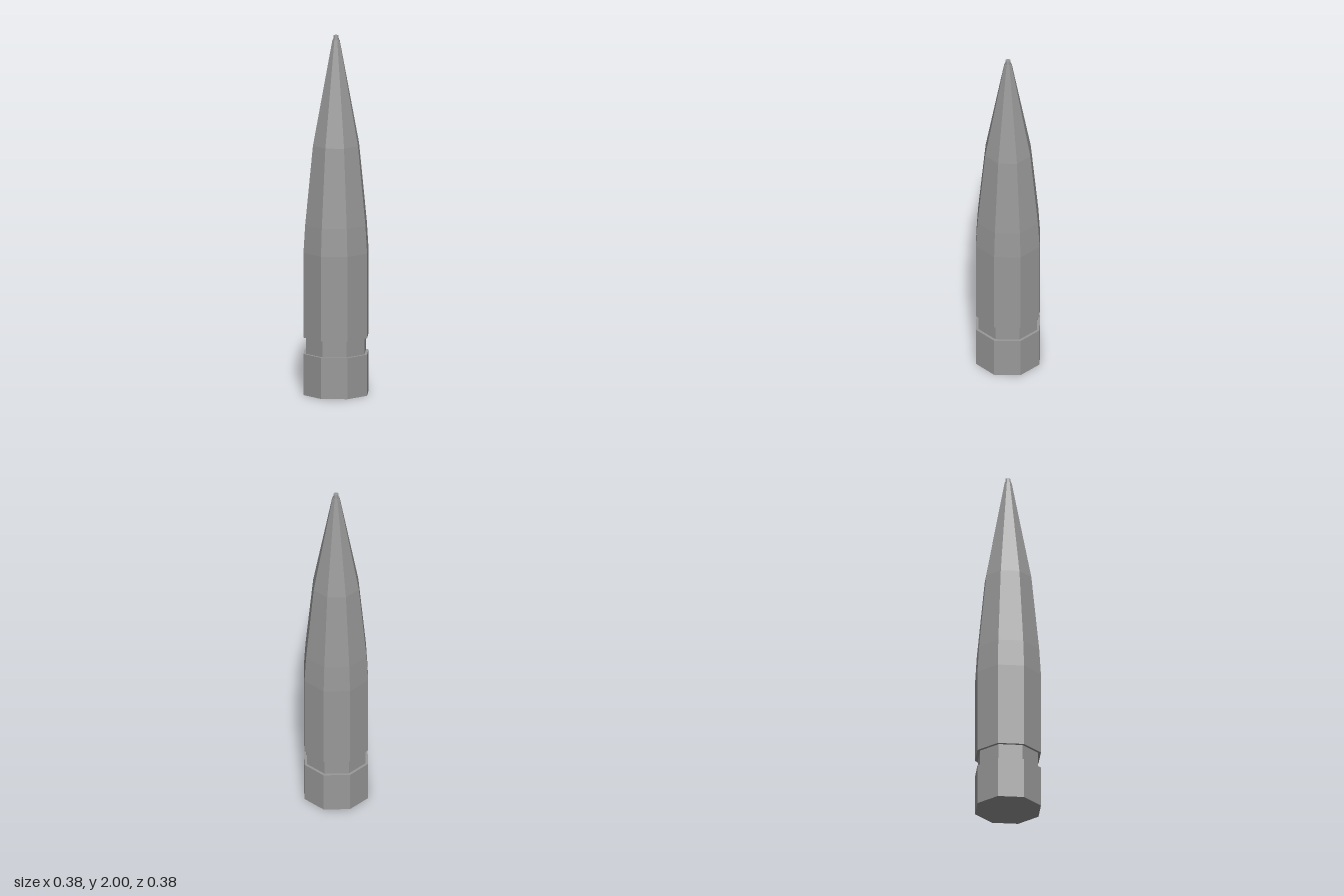
import * as THREE from 'three';

const SIDES = 8;
const material = new THREE.MeshStandardMaterial({ color: 0x999999, flatShading: true });

// Octagonal part turned from [radius, height] pairs, listed bottom to top
function turned(name, profile) {
  const points = profile.map(([r, y]) => new THREE.Vector2(r, y));
  const mesh = new THREE.Mesh(new THREE.LatheGeometry(points, SIDES), material);
  mesh.name = name;
  return mesh;
}

export function createModel() {
  const group = new THREE.Group();
  group.name = 'pointedRound';

  const R = 0.189; // full body radius
  const G = 0.173; // groove radius

  group.add(
    // Closed base with its upper ledge
    turned('base', [[0, 0], [R, 0], [R, 0.23], [G, 0.23]]),
    // Recessed band
    turned('groove', [[G, 0.23], [G, 0.321]]),
    // Straight body, starting with the underside ledge above the groove
    turned('body', [[G, 0.321], [R, 0.321], [R, 0.795]]),
    // Tapering nose
    turned('nose', [[R, 0.795], [0.179, 0.95], [0.134, 1.39], [0.021, 1.975], [0.017, 1.975]]),
    // Small blunt tip
    turned('tip', [[0.017, 1.975], [0.014, 2], [0, 2]]),
  );
  return group;
}
